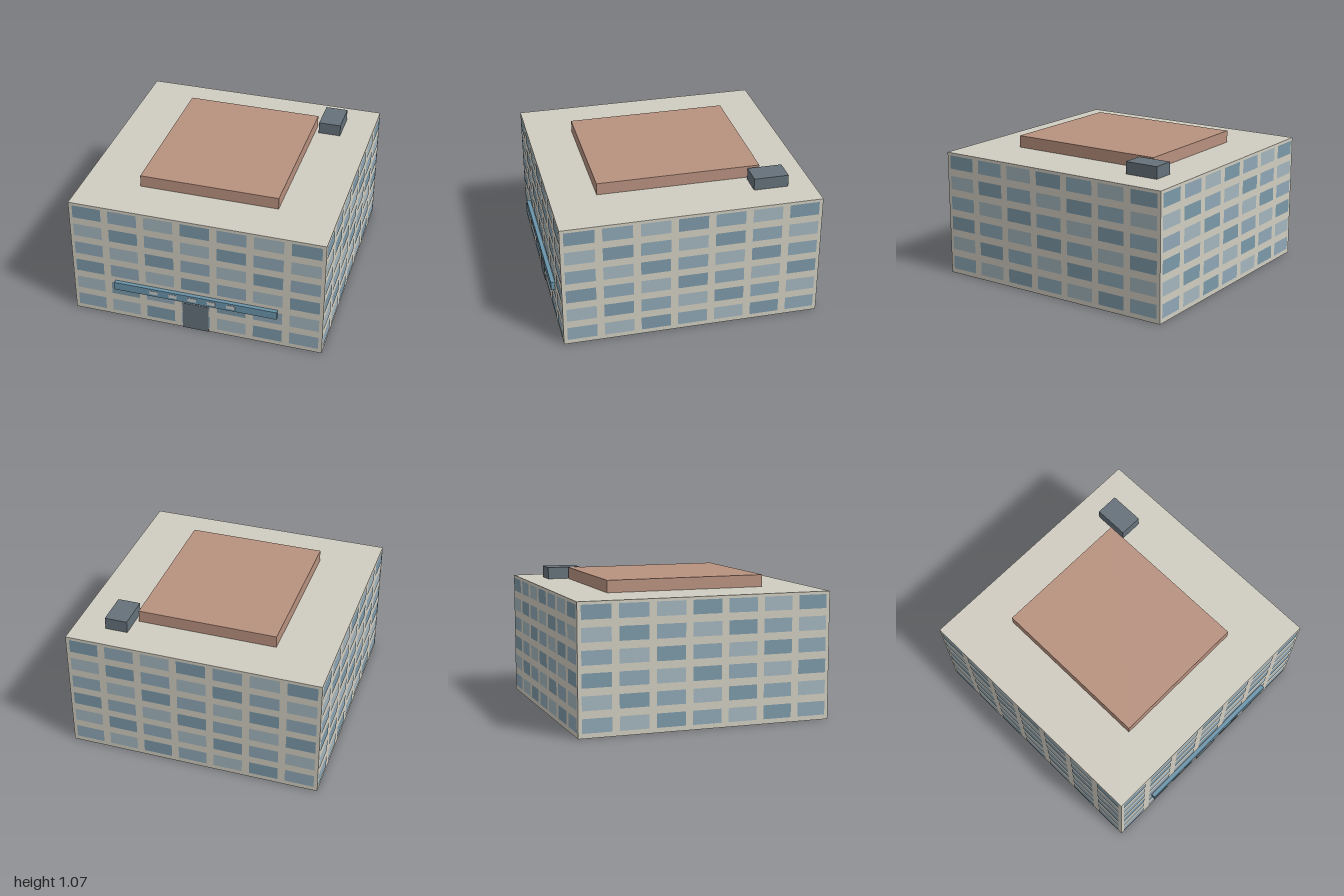
import * as THREE from 'three';

const mat = (color) => new THREE.MeshStandardMaterial({ color });

// Box given by its lower and upper limits on each axis
function box(name, material, [x0, x1], [y0, y1], [z0, z1]) {
  const mesh = new THREE.Mesh(new THREE.BoxGeometry(x1 - x0, y1 - y0, z1 - z0), material);
  mesh.position.set((x0 + x1) / 2, (y0 + y1) / 2, (z0 + z1) / 2);
  mesh.name = name;
  return mesh;
}

export function createModel() {
  const model = new THREE.Group();
  model.name = 'officeBuilding';

  const HALF_X = 0.981, FRONT = 0.967, BACK = -0.998, HEIGHT = 0.98;
  const midZ = (FRONT + BACK) / 2, halfZ = (FRONT - BACK) / 2;
  const dark = mat(0x65717a);

  // Main block and roof structures
  model.add(box('mainBlock', mat(0xd0ccc0), [-HALF_X, HALF_X], [0, HEIGHT], [BACK, FRONT]));
  model.add(box('roofPenthouse', mat(0xb8917f), [-0.54, 0.535], [HEIGHT, 1.073], [-0.642, 0.61]));
  model.add(box('roofUnit', dark, [0.565, 0.74], [HEIGHT, 1.073], [-0.806, -0.54]));

  // Entrance door and the band above it
  model.add(box('door', dark, [-0.104, 0.1], [0, 0.234], [FRONT, FRONT + 0.005]));
  model.add(box('canopyBand', mat(0x6a95ab), [-0.64, 0.637], [0.265, 0.33], [FRONT, 0.998]));
  const panel = mat(0xd4d8d8);
  for (let i = 0; i < 5; i++) {
    const x = -0.325 + i * 0.152;
    model.add(box('bandPanel', panel, [x - 0.033, x + 0.033], [0.283, 0.312], [0.996, 1.0]));
  }

  // Window grids: three tints shifting diagonally, one grid per facade
  const tints = [0x7c99a8, 0x8ea7b5, 0xa3b5bd].map(mat);
  const COLS = 7, ROWS = 6, ROW_STEP = 0.163;
  function facade(name, halfWidth, distance, angle) {
    const group = new THREE.Group();
    group.name = name;
    const step = (2 * halfWidth) / COLS;
    const pane = new THREE.PlaneGeometry(step * 0.8, 0.106);
    for (let r = 0; r < ROWS; r++) {
      for (let c = 0; c < COLS; c++) {
        const win = new THREE.Mesh(pane, tints[(c + r + 1) % 3]);
        win.name = 'window';
        win.position.set((c - (COLS - 1) / 2) * step, 0.09 + r * ROW_STEP, distance + 0.002);
        group.add(win);
      }
    }
    group.position.z = midZ;
    group.rotation.y = angle;
    model.add(group);
  }
  facade('frontWindows', HALF_X, halfZ, 0);
  facade('leftWindows', halfZ, HALF_X, Math.PI / 2);
  facade('backWindows', HALF_X, halfZ, Math.PI);
  facade('rightWindows', halfZ, HALF_X, -Math.PI / 2);

  return model;
}
